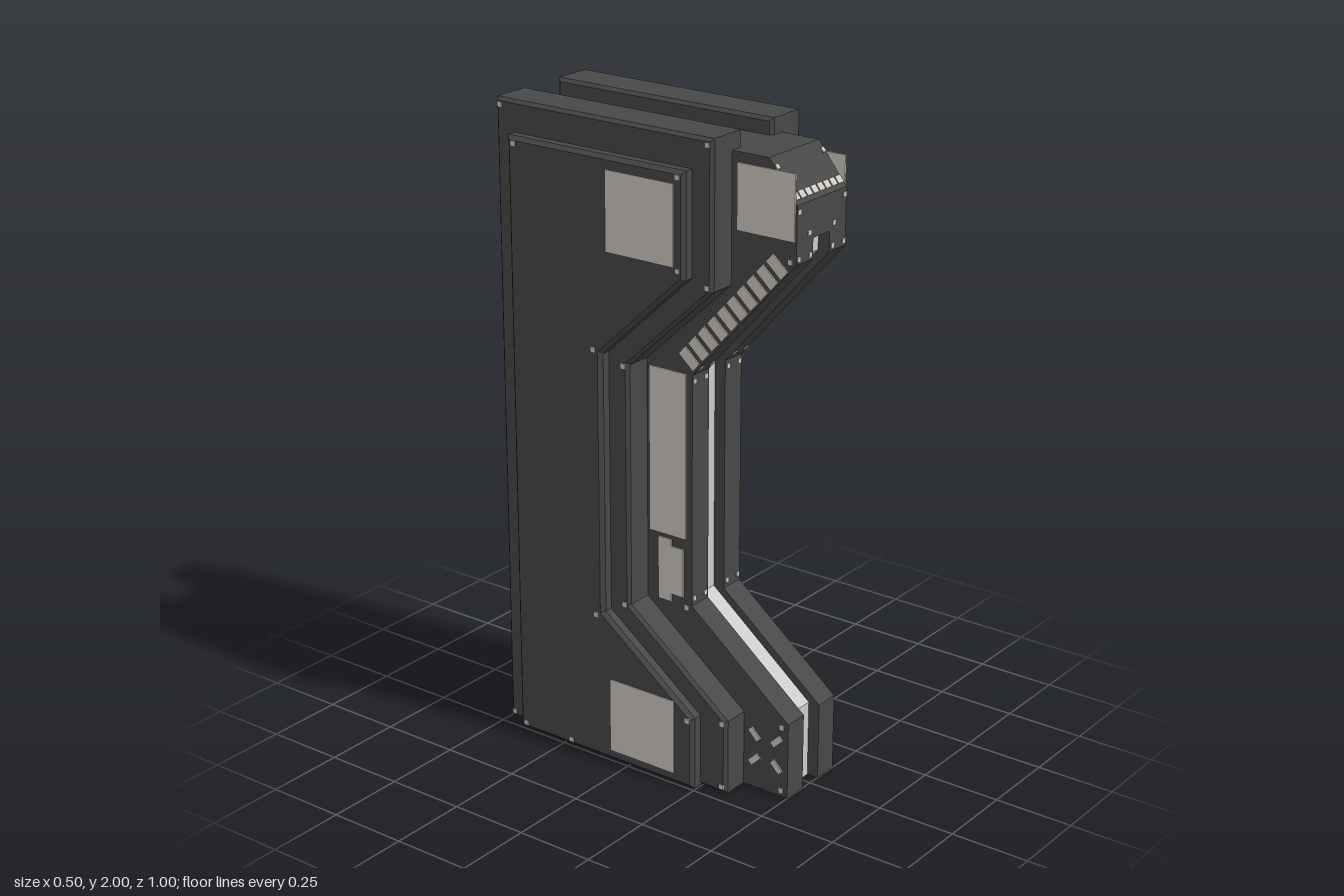
import * as THREE from 'three';

const dark = new THREE.MeshStandardMaterial({ color: 0x484848 });
const light = new THREE.MeshStandardMaterial({ color: 0xd0cac2 });
const grey = new THREE.MeshStandardMaterial({ color: 0xcccccc });

// Side profile of [z, y] points extruded from x0 to x1, with an optional chamfer
function slab(name, pts, x0, x1, mat, bevel = 0) {
  const shape = new THREE.Shape(pts.map(([z, y]) => new THREE.Vector2(-z, y)));
  const geo = new THREE.ExtrudeGeometry(shape, {
    depth: x1 - x0 - 2 * bevel, bevelEnabled: bevel > 0,
    bevelThickness: bevel, bevelSize: bevel, bevelOffset: -bevel, bevelSegments: 1,
  });
  geo.translate(0, 0, x0 + bevel).rotateY(Math.PI / 2);
  const mesh = new THREE.Mesh(geo, mat);
  mesh.name = name;
  return mesh;
}

function box(name, size, pos, rotX = 0, mat = light) {
  const mesh = new THREE.Mesh(new THREE.BoxGeometry(...size), mat);
  mesh.position.set(...pos);
  mesh.rotation.x = rotX;
  mesh.name = name;
  return mesh;
}

export function createModel() {
  const model = new THREE.Group();
  const T = 0.006; // thickness of plates and rivets

  const waist = [[0.5, 0], [0.5, 0.245], [0.145, 0.53], [0.145, 1.26], [0.5, 1.66]];
  const head = [[0.5, 1.83], [0.405, 1.95], [-0.365, 1.95], [-0.365, 0]];
  const inset = waist.map(([z, y]) => [z - 0.04, y]);
  const middle = [[0.34, 0], [0.34, 0.24], [-0.02, 0.52], [-0.02, 1.28], [0.28, 1.56], [0.28, 2], [-0.5, 2], [-0.5, 0]];
  const outer = [[0.245, 0], [0.245, 0.235], [-0.09, 0.49], [-0.09, 1.31], [0.21, 1.59], [0.21, 1.905], [-0.43, 1.905], [-0.43, 0]];

  // Core: recessed centre with a light strip, between two full-depth halves
  model.add(slab('coreCentre', [...inset, [0.46, 1.72], [0.5, 1.72], ...head], -0.04, 0.04, dark));
  const front = [...inset, [0.46, 1.72]];
  const strip = [...front.map(([z, y]) => [z + 0.004, y]), ...front.map(([z, y]) => [z - 0.01, y]).reverse()];
  model.add(slab('frontStrip', strip, -0.038, 0.038, grey));

  for (const s of [-1, 1]) {
    const side = new THREE.Group();
    side.name = s > 0 ? 'leftSide' : 'rightSide';
    model.add(side);
    const layer = (name, pts, a, b, bevel, mat = dark) =>
      side.add(slab(name, pts, s > 0 ? a : -b, s > 0 ? b : -a, mat, bevel));
    layer('coreHalf', [...waist, ...head], 0.04, 0.12, 0);
    layer('middleLayer', middle, 0.07, 0.21, 0.01);
    layer('outerLayer', outer, 0.18, 0.248, 0.012);

    // Flat light plates on the side faces
    const plate = (name, x, z0, z1, y0, y1) =>
      side.add(box(name, [T, y1 - y0, z1 - z0], [s * x, (y0 + y1) / 2, (z0 + z1) / 2]));
    plate('headPlate', 0.121, 0.30, 0.495, 1.725, 1.92);
    plate('waistPlate', 0.121, -0.01, 0.124, 0.74, 1.26);
    plate('upperPlate', 0.247, -0.065, 0.175, 1.625, 1.865);
    plate('lowerPlate', 0.247, -0.065, 0.175, 0.035, 0.275);
    layer('notchedPlate', [[0.115, 0.55], [0.115, 0.705], [0.07, 0.705], [0.07, 0.727], [0.022, 0.727],
      [0.022, 0.525], [0.07, 0.525], [0.07, 0.55]], 0.118, 0.124, 0, light);

    // Row of slanted bars under the head
    const slope = Math.atan2(0.355, 0.4);
    for (let i = 0; i < 10; i++) {
      const t = i / 9;
      side.add(box('slopeBar', [T, 0.035, 0.068],
        [s * 0.121, 1.645 - 0.335 * t, 0.437 - 0.302 * t], slope));
    }

    // Crossed marks on the foot
    for (const a of [-1, 1]) for (const b of [-1, 1])
      side.add(box('crossMark', [T, 0.02, 0.045], [s * 0.121, 0.136 + b * 0.042, 0.42 + a * 0.04], -a * b * Math.PI / 4));

    // Side rivets, [z, y] per layer
    const rivets = [
      [0.12, [[0.478, 0.23], [0.478, 0.02], [0.48, 1.665], [0.127, 0.52]]],
      [0.21, [[0.262, 1.98], [-0.483, 1.98], [-0.483, 0.02], [0.262, 1.57], [-0.037, 1.275], [-0.037, 0.517], [0.325, 0.23], [0.325, 0.02]]],
      [0.248, [[-0.117, 0.476], [-0.117, 1.32], [-0.403, 0.02], [-0.403, 1.885], [0.225, 0.225], [0.187, 1.885], [0.187, 1.615], [-0.22, 0.02]]],
    ];
    for (const [x, list] of rivets) for (const [z, y] of list)
      side.add(box('sideRivet', [T, 0.015, 0.015], [s * x, y, z]));

    // Front rivets, following the tilt of the face they sit on
    const chamfer = -Math.atan2(0.095, 0.12);
    const frontRivets = [[0.11, 1.925, 0.425, chamfer], [0.11, 1.81, 0.5, 0], [0.06, 1.74, 0.5, 0],
      [0.11, 1.675, 0.5, 0], [0.055, 1.675, 0.5, 0], [0.11, 1.285, 0.167, slope], [0.055, 1.285, 0.167, slope],
      [0.11, 1.24, 0.145, 0], [0.055, 1.24, 0.145, 0], [0.11, 0.552, 0.145, 0], [0.055, 0.552, 0.145, 0]];
    for (const [x, y, z, r] of frontRivets)
      side.add(box('frontRivet', [0.015, 0.015, T], [s * x, y, z], r));
  }

  // Row of small tiles across the sloping brow
  for (let i = 0; i < 8; i++)
    model.add(box('browTile', [0.025, 0.023, T], [(i - 3.5) * 0.03, 1.851, 0.483], -Math.atan2(0.095, 0.12)));

  return model;
}
